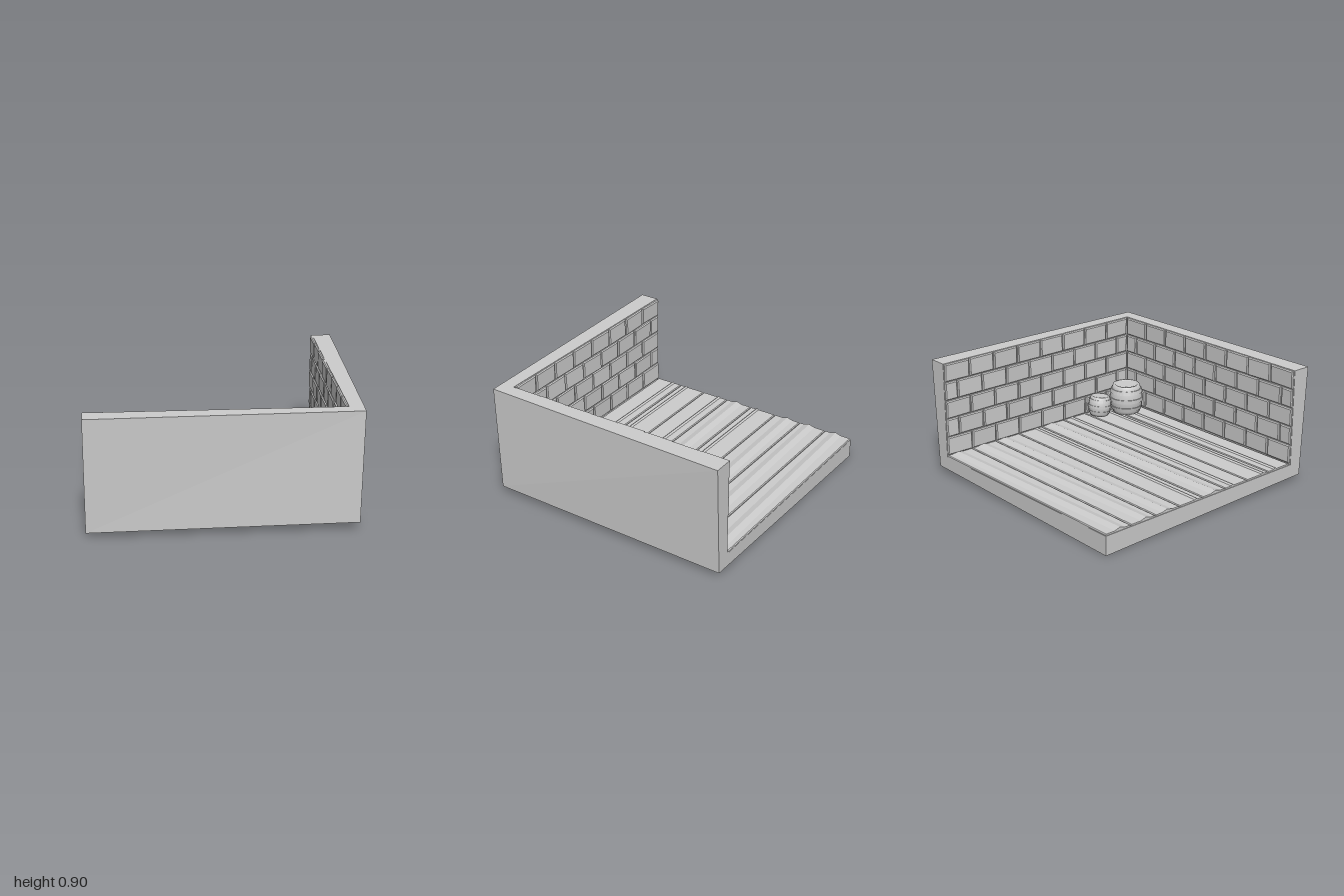
import * as THREE from 'three';

const grey = new THREE.MeshStandardMaterial({ color: 0xcccccc, flatShading: true });
const smooth = new THREE.MeshStandardMaterial({ color: 0xcccccc, side: THREE.DoubleSide });

let seed = 7;
const jitter = (a) => {
  seed = (seed * 16807) % 2147483647;
  return (seed / 2147483647 - 0.5) * 2 * a;
};

function named(geometry, name, material = grey) {
  const mesh = new THREE.Mesh(geometry, material);
  mesh.name = name;
  return mesh;
}

// L-shaped room shell: tapered outer corners, square inner corners
function roomShell() {
  const v = {
    P: [0.945, 0.06, 0.945], A: [-1, 0.043, 0.957], B: [0.957, 0.043, -1], Q: [-1, 0, -1],
    C: [0.957, 0.9, 0.957], D: [-1, 0.9, 1], E: [1, 0.9, -1],
    G: [-1, 0.148, -1], H: [0.853, 0.148, -1], I: [0.853, 0.148, 0.853], J: [-1, 0.148, 0.853],
    K: [0.853, 0.9, 0.853], L: [0.853, 0.9, -1], M: [-1, 0.9, 0.853],
  };
  const quads = ['APCD', 'PBEC', 'QBPA', 'GJIH', 'MKIJ', 'IKLH', 'DCKM', 'CELK', 'ADMJ', 'QAJG', 'BHLE', 'QGHB'];
  const pos = [];
  for (const q of quads) for (const i of [0, 1, 2, 0, 2, 3]) pos.push(...v[q[i]]);
  const g = new THREE.BufferGeometry();
  g.setAttribute('position', new THREE.Float32BufferAttribute(pos, 3));
  g.computeVertexNormals();
  return named(g, 'roomShell');
}

// Floor board with a ridge running along it
function plank(z0, width, ridge, half, rise, skew) {
  const top = 0.16;
  const pts = [
    [0, 0.13], [width, 0.13], [width, top - 0.006], [width - 0.006, top],
    [ridge + half, top], [ridge, top + rise], [ridge - half, top],
    [0.006, top], [0, top - 0.006],
  ].map(([x, y]) => new THREE.Vector2(x, y));
  const g = new THREE.ExtrudeGeometry(new THREE.Shape(pts), { depth: 1.84, bevelEnabled: false });
  g.rotateY(-Math.PI / 2).translate(0.845, 0, 0);
  const p = g.attributes.position;
  for (let i = 0; i < p.count; i++) {
    const z = p.getZ(i);
    if (Math.abs(z - ridge) < half + 0.001) p.setZ(i, z - skew * (p.getX(i) + 1));
  }
  g.translate(0, 0, z0);
  g.computeVertexNormals();
  return named(g, 'floorPlank');
}

// Brick with chamfered edges, centred on its origin
function brickGeometry(w, h, d) {
  const b = 0.008, x = w / 2 - b, y = h / 2 - b;
  const shape = new THREE.Shape([[-x, -y], [x, -y], [x, y], [-x, y]].map((c) => new THREE.Vector2(...c)));
  const g = new THREE.ExtrudeGeometry(shape, {
    depth: d - 2 * b, bevelEnabled: true, bevelThickness: b, bevelSize: b, bevelSegments: 1,
  });
  return g.translate(0, 0, b - d / 2);
}

// Running-bond brick face, built along x and facing -z
function brickWall(name) {
  const wall = new THREE.Group();
  wall.name = name;
  const rows = 5, rowH = 0.74 / rows, len = 0.23, end = 0.84, gap = 0.007;
  for (let r = 0; r < rows; r++) {
    const shift = r % 2 ? -len / 2 : 0;
    for (let u = -1 + shift; u < end - 0.01; u += len) {
      const a = Math.max(u, -1), b = Math.min(u + len, end);
      const brick = named(brickGeometry(b - a - gap, rowH - gap, 0.034), 'brick');
      brick.position.set((a + b) / 2, 0.16 + (r + 0.5) * rowH, 0.853 + jitter(0.002));
      brick.rotation.set(jitter(0.04), jitter(0.025), jitter(0.008));
      wall.add(brick);
    }
  }
  return wall;
}

// Barrel: bulging body, three raised hoops and a recessed lid
function barrel(name, radius, height) {
  const group = new THREE.Group();
  group.name = name;
  const radiusAt = (t) => radius * (0.78 + 0.18 * Math.sin(Math.PI * t));
  const body = [[0, 0]];
  for (let i = 0; i <= 10; i++) body.push([radiusAt(i / 10), (height * i) / 10]);
  body.push([radius * 0.66, height], [radius * 0.63, height * 0.95]);
  const lathe = (pts) => new THREE.LatheGeometry(pts.map((c) => new THREE.Vector2(...c)), 28);
  group.add(named(lathe(body), 'barrelBody', smooth));
  const lid = named(new THREE.CylinderGeometry(radius * 0.64, radius * 0.64, 0.01, 28), 'barrelLid');
  lid.position.y = height * 0.95;
  group.add(lid);
  for (const t of [0.2, 0.5, 0.8]) {
    const d = 0.065, out = radius * 0.045;
    const hoop = [
      [radiusAt(t - d) - 0.002, height * (t - d)], [radiusAt(t - d) + out, height * (t - d)],
      [radiusAt(t + d) + out, height * (t + d)], [radiusAt(t + d) - 0.002, height * (t + d)],
    ];
    const mesh = named(lathe(hoop), 'barrelHoop');
    group.add(mesh);
  }
  return group;
}

export function createModel() {
  const model = new THREE.Group();
  model.name = 'roomCorner';
  model.add(roomShell());

  // Floor boards: ridge position and whether the ridge is broad
  const floor = new THREE.Group();
  floor.name = 'floor';
  const ridges = [[0.13, 1], [0.14, 1], [0.11, 1], [0.165, 0], [0.13, 1], [0.075, 0], [0.17, 0], [0.075, 0]];
  ridges.forEach(([at, broad], i) => {
    const args = broad ? [0.048, 0.014, 0.022] : [0.013, 0.011, -0.004];
    floor.add(plank(-1 + i * 0.23 + 0.002, 0.226, at, ...args));
  });
  model.add(floor);

  // Brick faces on the two inner walls
  const front = brickWall('frontBricks');
  const side = brickWall('sideBricks');
  side.rotation.y = Math.PI / 2;
  side.scale.x = -1;
  model.add(front, side);

  // Two barrels in the corner
  const large = barrel('largeBarrel', 0.14, 0.24);
  large.position.set(0.67, 0.16, 0.68);
  const small = barrel('smallBarrel', 0.096, 0.16);
  small.position.set(0.754, 0.162, 0.452);
  small.rotation.x = 0.1;
  model.add(large, small);
  return model;
}
